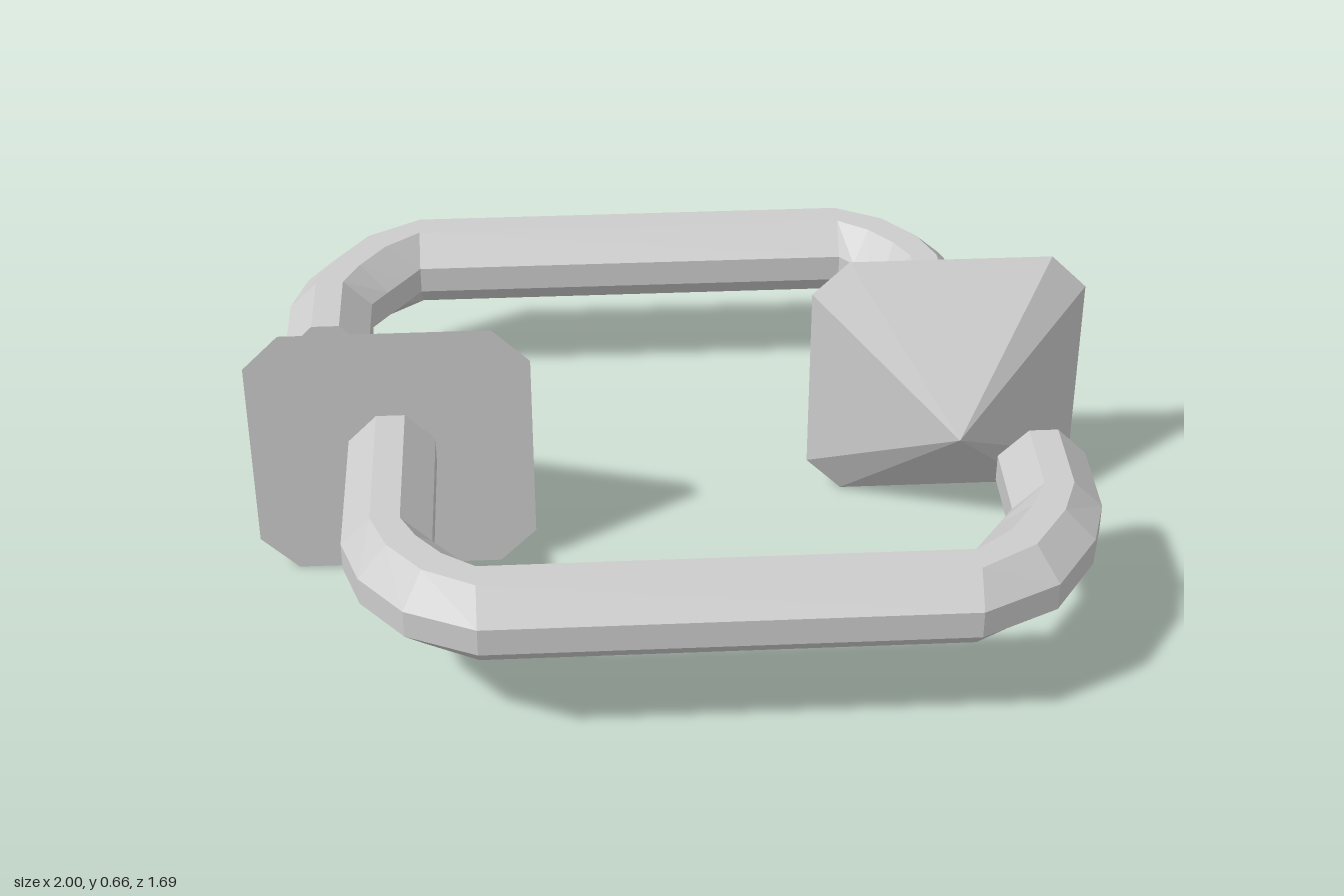
import * as THREE from 'three';

const MID_Y = 0.332;

// Chamfered square as eight [across, up] points, counterclockwise
function octagon(half, flat) {
  return [
    [half, -flat], [half, flat], [flat, half], [-flat, half],
    [-half, flat], [-half, -flat], [-flat, -half], [flat, -half],
  ];
}

// Joins rings of points into a closed, flat-faced solid with end caps
function loft(rings) {
  const pos = [];
  const ab = new THREE.Vector3(), ac = new THREE.Vector3();
  const tri = (a, b, c) => {
    ab.subVectors(b, a);
    ac.subVectors(c, a);
    if (ab.cross(ac).length() < 1e-9) return;
    for (const p of [a, b, c]) pos.push(p.x, p.y, p.z);
  };
  const n = rings[0].length;
  for (let r = 0; r < rings.length - 1; r++) {
    for (let i = 0; i < n; i++) {
      const j = (i + 1) % n;
      tri(rings[r][i], rings[r][j], rings[r + 1][j]);
      tri(rings[r][i], rings[r + 1][j], rings[r + 1][i]);
    }
  }
  const first = rings[0], last = rings[rings.length - 1];
  for (let i = 1; i < n - 1; i++) {
    tri(first[0], first[i + 1], first[i]);
    tri(last[0], last[i], last[i + 1]);
  }
  const geo = new THREE.BufferGeometry();
  geo.setAttribute('position', new THREE.Float32BufferAttribute(pos, 3));
  geo.computeVertexNormals();
  return geo;
}

// Bent bar: each station is [outer x, outer z, inner x, inner z]
function shaftGeometry() {
  const stations = [
    [-0.943, -0.27, -0.738, -0.27],
    [-0.943, -0.477, -0.738, -0.477],
    [-0.905, -0.602, -0.699, -0.532],
    [-0.798, -0.757, -0.659, -0.587],
    [-0.62, -0.845, -0.62, -0.642],
    [0.467, -0.845, 0.467, -0.642],
    [0.626, -0.772, 0.5, -0.602],
    [0.727, -0.652, 0.534, -0.563],
    [0.77, -0.524, 0.567, -0.524],
    [0.77, -0.126, 0.567, -0.126],
  ];
  const profile = octagon(1, 0.33);
  return loft(stations.map(([ox, oz, ix, iz]) => profile.map(([u, v]) => {
    const t = (1 - u) / 2;
    return new THREE.Vector3(ox + (ix - ox) * t, MID_Y + v * 0.103, oz + (iz - oz) * t);
  })));
}

// Eight-sided pyramid point
function headGeometry() {
  const base = octagon(0.33, 0.243);
  const ring = (scale, z) => base.map(([x, y]) =>
    new THREE.Vector3(0.669 + x * scale, MID_Y + y * scale, z));
  return loft([ring(1, -0.126), ring(0, 0.156)]);
}

export function createModel() {
  const model = new THREE.Group();
  model.name = 'rotationArrows';
  const grey = new THREE.MeshStandardMaterial({ color: 0xcccccc });
  grey.name = 'light grey';

  // Two identical arrows chasing each other, half a turn apart
  const shaftGeo = shaftGeometry();
  const headGeo = headGeometry();
  ['backArrow', 'frontArrow'].forEach((name, i) => {
    const arrow = new THREE.Group();
    arrow.name = name;
    const shaft = new THREE.Mesh(shaftGeo, grey);
    shaft.name = 'arrowShaft';
    const head = new THREE.Mesh(headGeo, grey);
    head.name = 'arrowHead';
    arrow.add(shaft, head);
    arrow.rotation.y = i * Math.PI;
    model.add(arrow);
  });
  return model;
}
